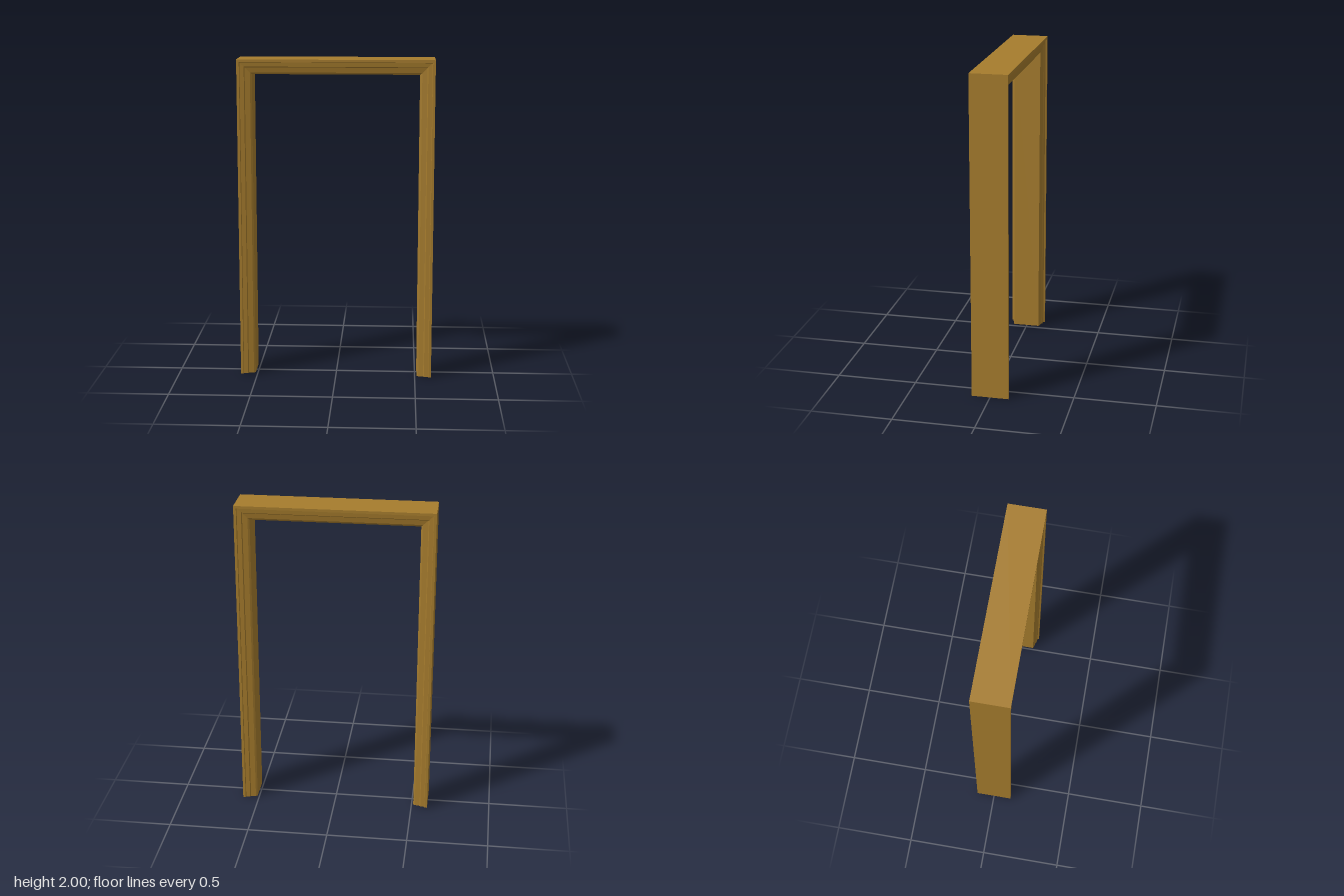
import * as THREE from 'three';

const HALF_WIDTH = 0.603;
const HEIGHT = 2;

// Front half of the moulding: distance in from the outer edge, and depth z
const moulding = [
  [0, 0.114], [0.016, 0.114], [0.019, 0.105], [0.044, 0.102],
  [0.049, 0.096], [0.08, 0.09], [0.091, 0.084],
];

export function createModel() {
  const group = new THREE.Group();
  group.name = 'doorFrame';
  const material = new THREE.MeshStandardMaterial({ color: 0xa67c2d });

  // Closed section, with the same moulding on the front and back
  const back = moulding.map(([u, z]) => [u, -z]);
  const outline = [...back, ...[...moulding].reverse()];
  const section = new THREE.Shape(outline.map(([u, z]) => new THREE.Vector2(u, z)));

  // Bar along +y with its outer face at x = 0; chosen ends are cut at 45 degrees
  function bar(name, length, mitreStart) {
    const geometry = new THREE.ExtrudeGeometry(section, { depth: length, bevelEnabled: false });
    geometry.rotateX(-Math.PI / 2);
    const pos = geometry.attributes.position;
    for (let i = 0; i < pos.count; i++) {
      const u = pos.getX(i);
      if (pos.getY(i) > length / 2) pos.setY(i, length - u);
      else if (mitreStart) pos.setY(i, u);
    }
    const mesh = new THREE.Mesh(geometry, material);
    mesh.name = name;
    group.add(mesh);
    return mesh;
  }

  // Side jambs; the right one stops slightly short of the floor
  const rightGap = 0.008;
  bar('rightJamb', HEIGHT - rightGap, false).position.set(-HALF_WIDTH, rightGap, 0);
  const leftJamb = bar('leftJamb', HEIGHT, false);
  leftJamb.position.x = HALF_WIDTH;
  leftJamb.rotation.y = Math.PI;

  // Head across the top, mitred into both jambs
  const head = bar('headJamb', HALF_WIDTH * 2, true);
  head.position.set(-HALF_WIDTH, HEIGHT, 0);
  head.rotation.z = -Math.PI / 2;

  return group;
}
